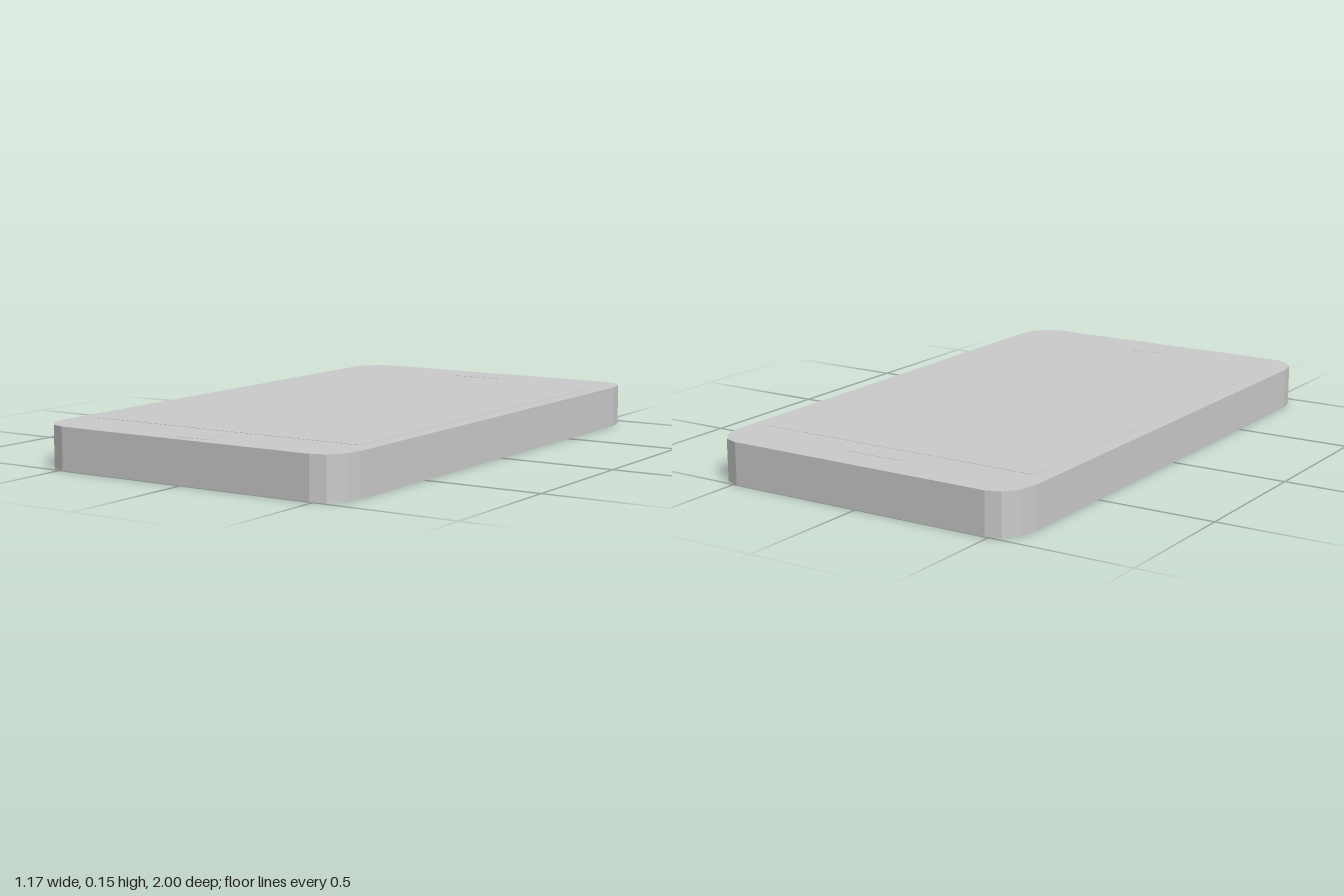
import * as THREE from 'three';

const HEIGHT = 0.146;

// Rectangle with faceted elliptical corners, drawn in plan (shape y = -z)
function plate(width, length, rx, rz, steps) {
  const points = [];
  for (let corner = 0; corner < 4; corner++) {
    const sx = corner === 0 || corner === 3 ? 1 : -1;
    const sy = corner < 2 ? 1 : -1;
    for (let i = 0; i <= steps; i++) {
      const a = (corner + i / steps) * Math.PI / 2;
      points.push(new THREE.Vector2(
        sx * (width / 2 - rx) + rx * Math.cos(a),
        sy * (length / 2 - rz) + rz * Math.sin(a)));
    }
  }
  return new THREE.Shape(points);
}

export function createModel() {
  const group = new THREE.Group();
  group.name = 'phone';
  const material = new THREE.MeshStandardMaterial({ color: 0xcccccc, flatShading: true });

  // Upright slab from a plan shape, standing between two heights
  function slab(name, shape, bottom, top, x = 0, z = 0) {
    const geometry = new THREE.ExtrudeGeometry(shape, { depth: top - bottom, bevelEnabled: false });
    geometry.rotateX(-Math.PI / 2);
    const mesh = new THREE.Mesh(geometry, material);
    mesh.name = name;
    mesh.position.set(x, bottom, z);
    group.add(mesh);
  }

  // Case with three-facet corners
  slab('body', plate(1.174, 2, 0.1, 0.13, 3), 0, HEIGHT);

  // Inlays set almost flush with the top face
  const inlay = (name, width, length, radius, x, z) =>
    slab(name, plate(width, length, radius, radius, 2), HEIGHT - 0.01, HEIGHT + 0.001, x, z);
  inlay('screen', 1.055, 1.575, 0.002, 0, 0);
  inlay('homeButton', 0.12, 0.11, 0.012, 0.01, 0.905);
  inlay('earpiece', 0.22, 0.035, 0.008, 0.01, -0.867);

  return group;
}
